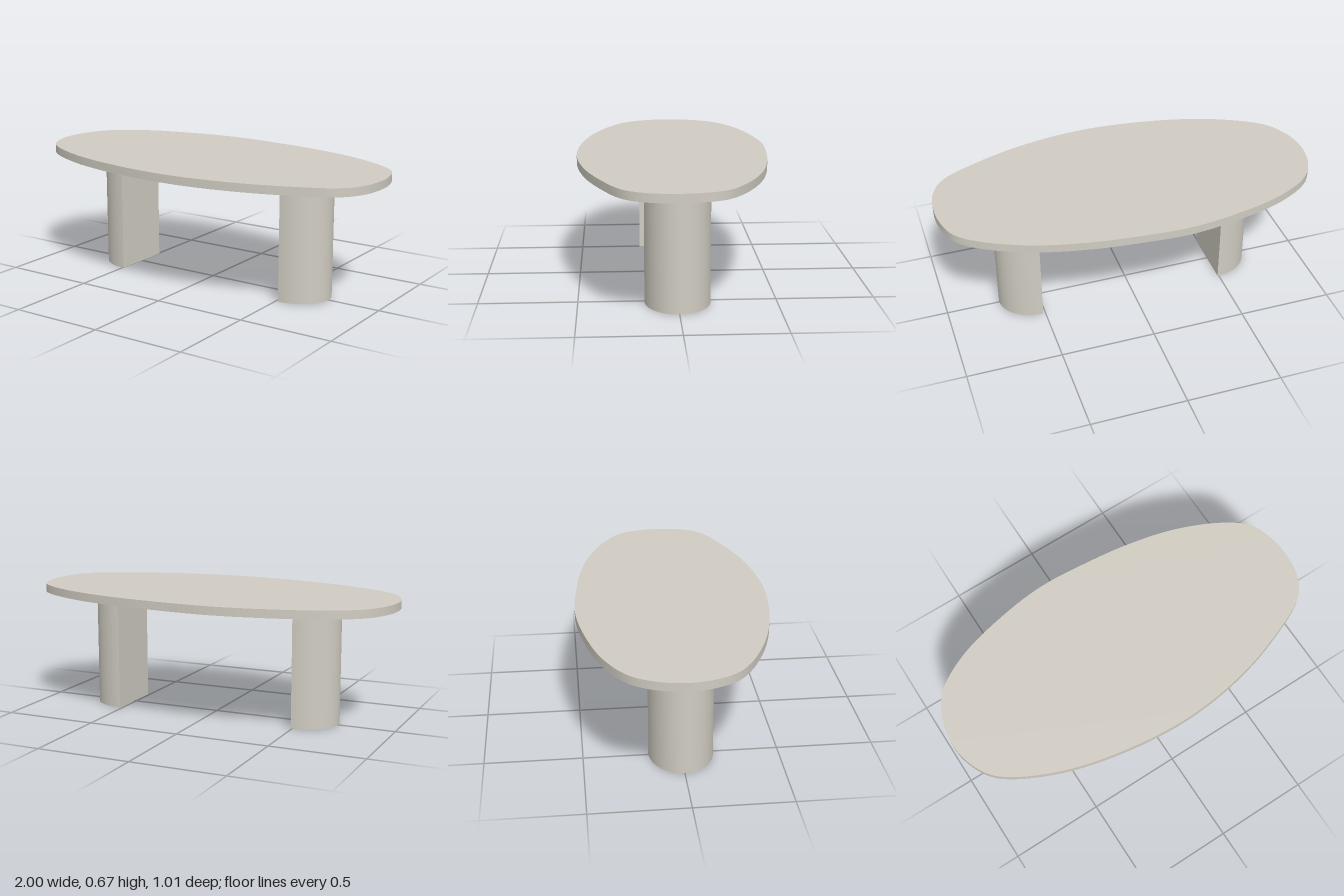
import * as THREE from 'three';
import { toCreasedNormals } from 'three/addons/utils/BufferGeometryUtils.js';

const stone = new THREE.MeshStandardMaterial({ color: 0xd0ccc2 });
stone.name = 'warm grey stone';

const LEG_HEIGHT = 0.627;
const TOP_HEIGHT = 0.671;

// Upright slab from an outline of [x, z] points, with smooth curved sides
function slab(name, points, y0, y1) {
  const shape = new THREE.Shape(points.map(([x, z]) => new THREE.Vector2(x, -z)));
  const geometry = new THREE.ExtrudeGeometry(shape, { depth: y1 - y0, bevelEnabled: false });
  geometry.rotateX(-Math.PI / 2).translate(0, y0, 0);
  const mesh = new THREE.Mesh(toCreasedNormals(geometry, Math.PI / 6), stone);
  mesh.name = name;
  return mesh;
}

// Half-ellipse leg: flat face inward, rounded face outward
function leg(name, flatX, side) {
  const points = [];
  for (let i = 0; i <= 32; i++) {
    const a = -Math.PI / 2 + (Math.PI * i) / 32;
    points.push([flatX + side * 0.202 * Math.cos(a), 0.166 * Math.sin(a)]);
  }
  return slab(name, points, 0, LEG_HEIGHT);
}

export function createModel() {
  const group = new THREE.Group();
  group.name = 'table';

  // Free-form pebble outline of the top
  const outline = [
    [1, 0.03], [0.98, 0.16], [0.91, 0.27], [0.7, 0.375], [0.42, 0.462],
    [0.06, 0.505], [-0.34, 0.467], [-0.66, 0.377], [-0.9, 0.24], [-0.975, 0.12],
    [-1, -0.01], [-0.975, -0.16], [-0.9, -0.285], [-0.72, -0.395], [-0.43, -0.475],
    [-0.18, -0.507], [0.05, -0.497], [0.33, -0.465], [0.6, -0.4], [0.83, -0.295],
    [0.945, -0.2], [0.99, -0.08],
  ].map(([x, z]) => new THREE.Vector3(x, 0, z));
  const curve = new THREE.CatmullRomCurve3(outline, true, 'centripetal');
  const edge = curve.getPoints(132).slice(0, -1).map((p) => [p.x, p.z]);
  group.add(slab('tableTop', edge, LEG_HEIGHT, TOP_HEIGHT));

  group.add(leg('leftLeg', 0.513, 1), leg('rightLeg', -0.493, -1));
  return group;
}
